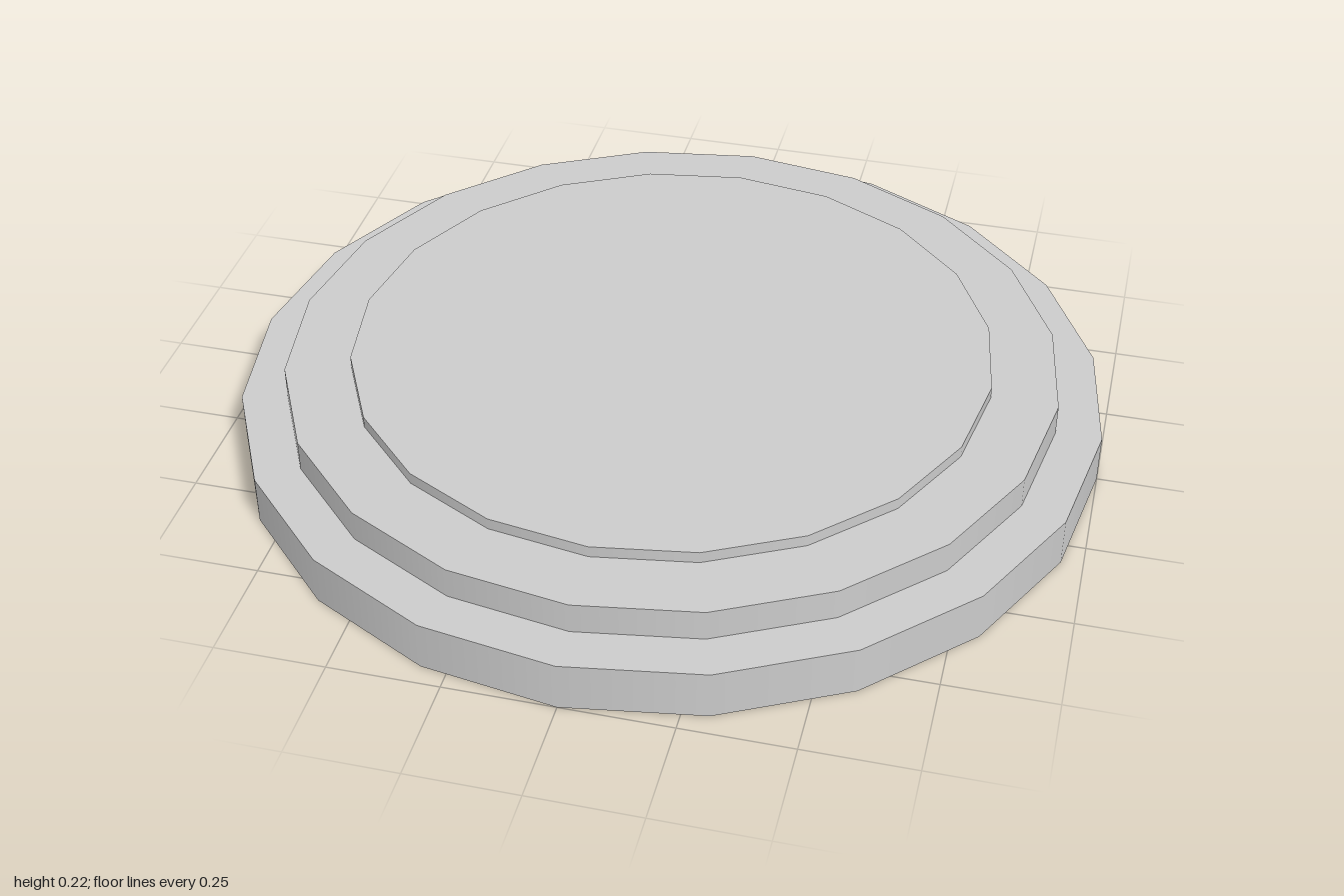
import * as THREE from 'three';

const SIDES = 20;

export function createModel() {
  const model = new THREE.Group();
  model.name = 'steppedRoundPlatform';
  const material = new THREE.MeshStandardMaterial({ color: 0xcccccc });

  // One round tier, smooth around its rim, standing between two heights
  const addTier = (name, radius, bottom, top) => {
    const geometry = new THREE.CylinderGeometry(radius, radius, top - bottom, SIDES);
    const tier = new THREE.Mesh(geometry, material);
    tier.name = name;
    tier.position.y = (bottom + top) / 2;
    model.add(tier);
  };

  addTier('baseTier', 1, 0, 0.115);
  addTier('middleTier', 0.895, 0.115, 0.188);
  addTier('topPlate', 0.742, 0.188, 0.215);

  return model;
}
